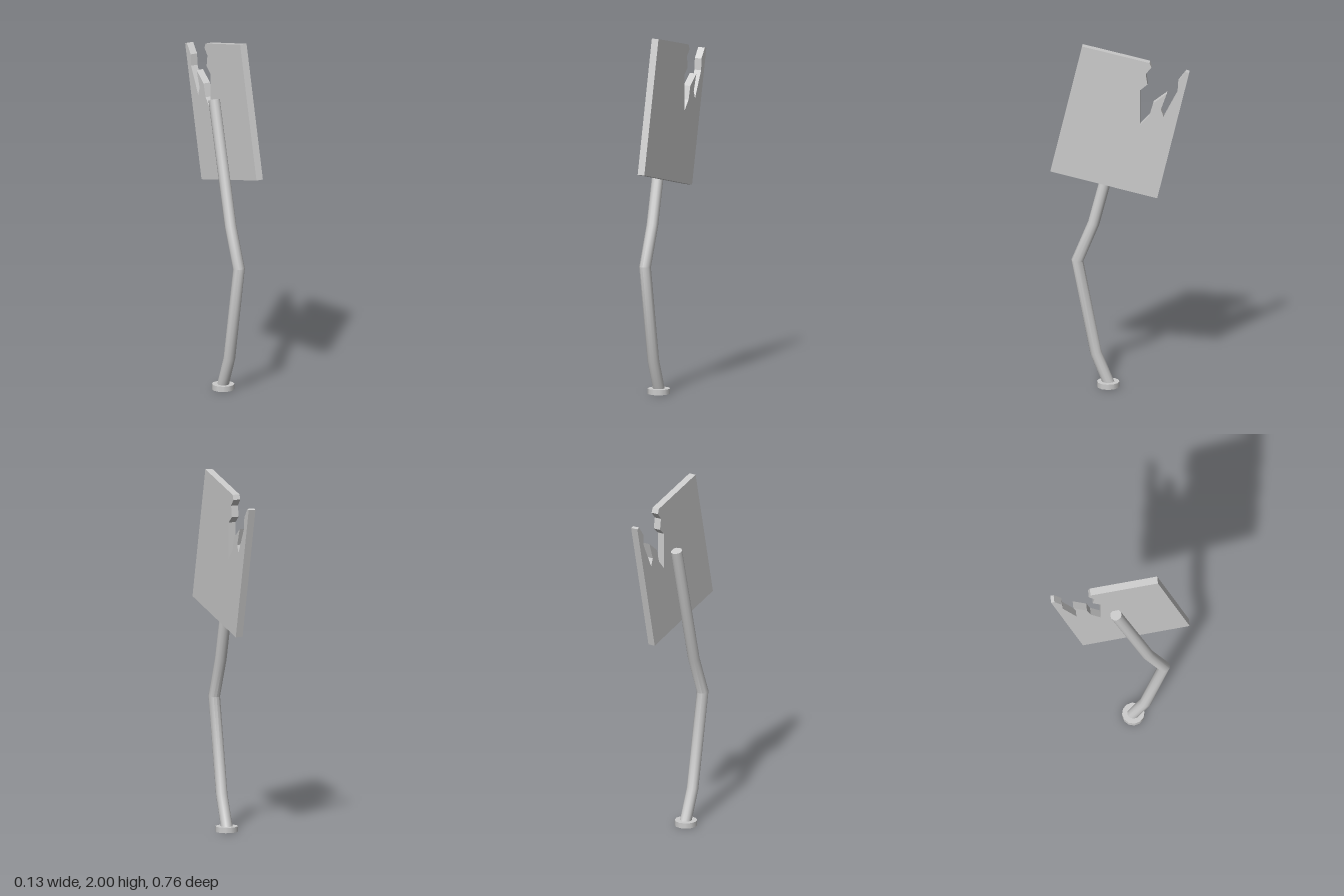
import * as THREE from 'three';
import { toCreasedNormals } from 'three/addons/utils/BufferGeometryUtils.js';

const grey = new THREE.MeshStandardMaterial({ color: 0xcccccc });
const POLE_X = -0.003;

function addPart(group, name, geometry) {
  const mesh = new THREE.Mesh(geometry, grey);
  mesh.name = name;
  group.add(mesh);
  return mesh;
}

// Cylinder bent along a path of [z, y] points, with mitred joints
function bentPole(path, radius, sides) {
  const pts = path.map(([z, y]) => new THREE.Vector2(z, y));
  const last = pts.length - 1;
  const direction = (i) => pts[i + 1].clone().sub(pts[i]).normalize();
  const joints = pts.map((p, i) => {
    const before = direction(Math.max(i - 1, 0));
    const after = direction(Math.min(i, last - 1));
    const t = before.clone().add(after).normalize();
    return { p, across: new THREE.Vector2(t.y, -t.x), stretch: 1 / t.dot(after) };
  });
  const geo = new THREE.CylinderGeometry(radius, radius, 1, sides, last);
  const pos = geo.attributes.position;
  for (let i = 0; i < pos.count; i++) {
    const { p, across, stretch } = joints[Math.round((pos.getY(i) + 0.5) * last)];
    const d = pos.getZ(i) * stretch;
    pos.setXYZ(i, pos.getX(i), p.y + across.y * d, p.x + across.x * d);
  }
  return toCreasedNormals(geo, 0.62);
}

export function createModel() {
  const model = new THREE.Group();
  model.name = 'bentSign';

  // Round foot
  const foot = addPart(model, 'foot', new THREE.CylinderGeometry(0.062, 0.062, 0.03, 12));
  foot.position.set(POLE_X, 0.015, 0.07);

  // Crooked pole
  const pole = addPart(model, 'pole', bentPole(
    [[0.065, 0.015], [0.138, 0.195], [0.24, 0.73], [0.15, 0.95], [-0.026, 1.632]], 0.032, 12));
  pole.position.x = POLE_X;

  // Tilted board with a torn upper corner, outlined as [z, y]
  const outline = [
    [0.209, 2.0], [0.384, 1.267], [-0.205, 1.127], [-0.381, 1.862], [-0.363, 1.867],
    [-0.321, 1.812], [-0.317, 1.748], [-0.241, 1.602], [-0.225, 1.645], [-0.258, 1.738],
    [-0.183, 1.68], [-0.162, 1.607], [-0.109, 1.549], [-0.109, 1.752], [-0.151, 1.788],
    [-0.142, 1.85], [-0.173, 1.887], [-0.163, 1.914],
  ];
  const shape = new THREE.Shape(outline.map(([z, y]) => new THREE.Vector2(-z, y)));
  const board = addPart(model, 'board',
    new THREE.ExtrudeGeometry(shape, { depth: 0.041, bevelEnabled: false }));
  board.rotation.y = Math.PI / 2;
  board.position.x = 0.023;

  return model;
}
